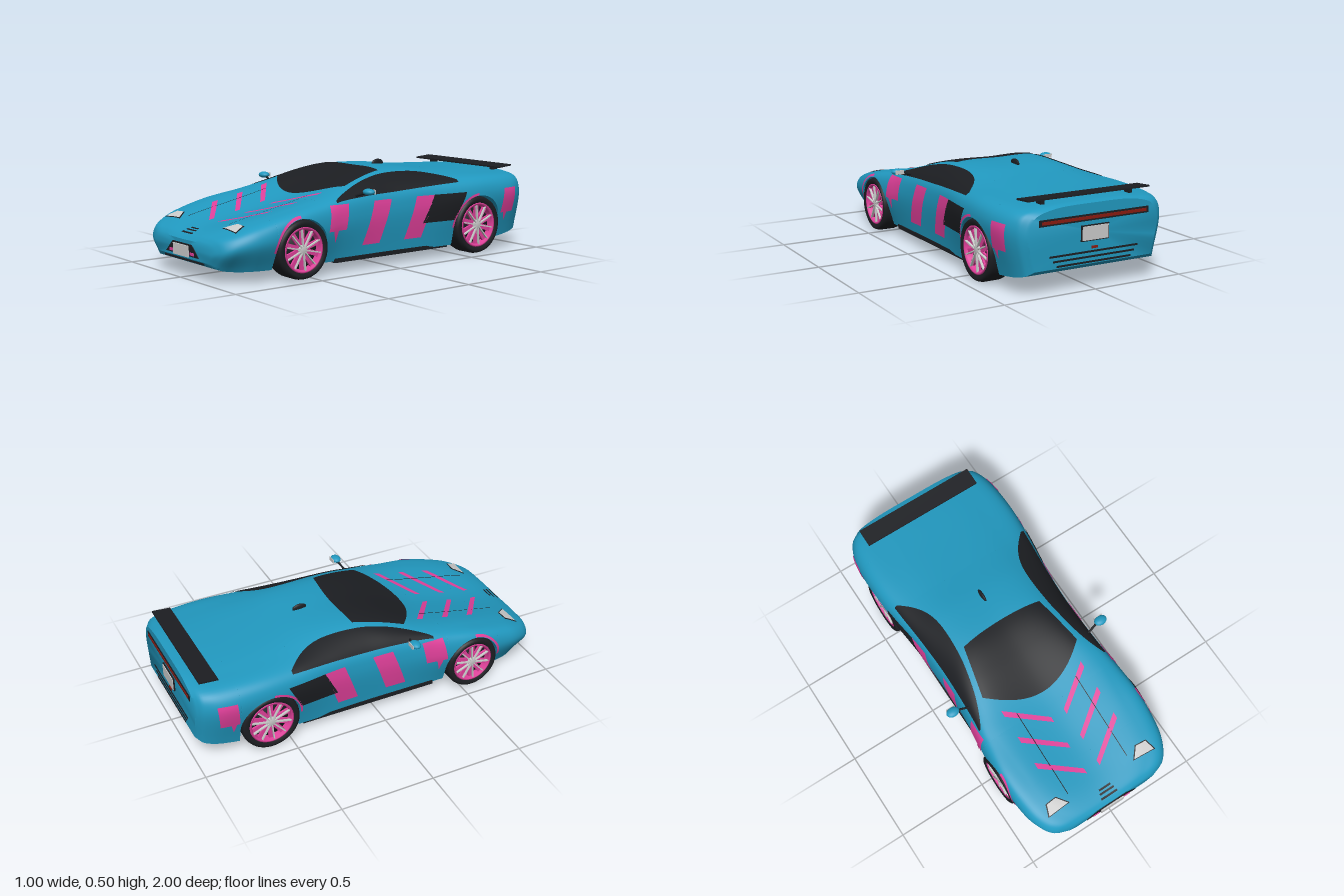
import * as THREE from 'three';
import { toCreasedNormals } from 'three/addons/utils/BufferGeometryUtils.js';

const mat = (color) => new THREE.MeshStandardMaterial({ color, side: THREE.DoubleSide });
const blue = mat(0x2199c0), pink = mat(0xe0409a), black = mat(0x1c1e22), grey = mat(0xcccccc), red = mat(0x8a1c12);
const lerp = THREE.MathUtils.lerp;

// Body stations: z, sill y/x, widest y/x, shoulder y/x, roof edge y/x, centre top y
const S = [
  [0.985, 0.1, 0.22, 0.145, 0.27, 0.175, 0.25, 0.19, 0.15, 0.19],
  [0.96, 0.075, 0.27, 0.16, 0.34, 0.205, 0.31, 0.217, 0.2, 0.212],
  [0.9, 0.062, 0.31, 0.18, 0.39, 0.23, 0.365, 0.246, 0.26, 0.235],
  [0.8, 0.06, 0.36, 0.2, 0.425, 0.262, 0.4, 0.282, 0.3, 0.257],
  [0.6, 0.06, 0.385, 0.22, 0.44, 0.308, 0.42, 0.328, 0.32, 0.296],
  [0.4, 0.06, 0.385, 0.24, 0.43, 0.338, 0.405, 0.366, 0.33, 0.343],
  [0.3, 0.06, 0.385, 0.26, 0.417, 0.36, 0.39, 0.388, 0.32, 0.374],
  [0.1, 0.06, 0.385, 0.28, 0.403, 0.375, 0.38, 0.44, 0.29, 0.445],
  [-0.05, 0.06, 0.385, 0.29, 0.402, 0.38, 0.378, 0.464, 0.265, 0.478],
  [-0.25, 0.06, 0.39, 0.3, 0.412, 0.39, 0.388, 0.464, 0.255, 0.48],
  [-0.45, 0.06, 0.395, 0.32, 0.437, 0.398, 0.405, 0.446, 0.26, 0.46],
  [-0.65, 0.062, 0.4, 0.335, 0.45, 0.403, 0.415, 0.434, 0.27, 0.445],
  [-0.85, 0.08, 0.39, 0.33, 0.44, 0.4, 0.4, 0.425, 0.26, 0.435],
  [-0.95, 0.1, 0.365, 0.32, 0.405, 0.39, 0.375, 0.42, 0.25, 0.428],
  [-0.985, 0.125, 0.33, 0.3, 0.365, 0.375, 0.335, 0.41, 0.24, 0.42],
];
// Wheels: z, axle y, arch radius, tyre scale
const AXLES = [[0.56, 0.148, 0.153, 1], [-0.61, 0.157, 0.163, 1.06]];

// Station values at any z, by a smooth cubic through the list
function station(z) {
  z = THREE.MathUtils.clamp(z, -0.985, 0.985);
  let i = 0;
  while (i < S.length - 2 && S[i + 1][0] > z) i++;
  const slope = (k, c) => {
    const a = S[Math.max(k - 1, 0)], b = S[Math.min(k + 1, S.length - 1)];
    return (b[c] - a[c]) / (b[0] - a[0]);
  };
  const h = S[i + 1][0] - S[i][0], s = (z - S[i][0]) / h, s2 = s * s, s3 = s2 * s;
  return S[i].map((v, c) => c === 0 ? z : (2 * s3 - 3 * s2 + 1) * v + (s3 - 2 * s2 + s) * h * slope(i, c)
    + (3 * s2 - 2 * s3) * S[i + 1][c] + (s3 - s2) * h * slope(i + 1, c));
}

// Half cross-section, t = 0 at the sill to t = 1 at the top centre
function section(z) {
  const p = station(z), V = (x, y) => new THREE.Vector3(x, y, p[0]);
  const curve = new THREE.CatmullRomCurve3(
    [V(p[2], p[1]), V(p[4], p[3]), V(p[6], p[5]), V(p[8], p[7]), V(0, p[9]), V(-p[8], p[7])]);
  return { p, at: (t) => curve.getPoint(t * 0.8) };
}
function solve(test, lo, hi) {
  for (let k = 0; k < 22; k++) {
    const m = (lo + hi) / 2;
    if (test(m)) lo = m; else hi = m;
  }
  return (lo + hi) / 2;
}

// Points lifted just off the body: by section parameter, from above (x, z), from the side (z, y)
function lifted(t, z, side, off = 0.004) {
  const e = 0.004, a = section(z).at(t);
  const dt = section(z).at(Math.min(t + e, 1.02)).sub(section(z).at(t - e));
  const dz = section(z + e).at(t).sub(section(z - e).at(t));
  a.addScaledVector(dt.cross(dz).normalize(), off);
  a.x *= side;
  return a;
}
function onTop(x, z, off) {
  const s = section(z);
  return lifted(solve((t) => s.at(t).x > Math.abs(x), 0.4, 1), z, x < 0 ? -1 : 1, off);
}
function onSide(z, y, side, off) {
  const s = section(z);
  return lifted(solve((t) => s.at(t).y < y, 0.01, 0.7), z, side, off);
}

function grid(nu, nv, f) {
  const pos = [], idx = [];
  for (let i = 0; i <= nu; i++) for (let j = 0; j <= nv; j++) {
    pos.push(...f(i / nu, j / nv).toArray());
    if (i < nu && j < nv) {
      const a = i * (nv + 1) + j, d = a + nv + 1;
      idx.push(a, d, d + 1, a, d + 1, a + 1);
    }
  }
  const g = new THREE.BufferGeometry();
  g.setAttribute('position', new THREE.Float32BufferAttribute(pos, 3));
  g.setIndex(idx);
  g.computeVertexNormals();
  return g;
}
// Four-cornered patch: corners in order round the shape
function quad(c, place, n = 8) {
  return grid(n, n, (u, v) => {
    const m = [0, 1].map((k) => lerp(lerp(c[0][k], c[1][k], u), lerp(c[3][k], c[2][k], u), v));
    return place(m[0], m[1]);
  });
}

function bodyGeometry() {
  const rings = [], N = 30;
  const ring = (z, arch) => {
    const s = section(z), yb = s.p[1], xin = Math.min(0.29, 0.75 * s.p[2]);
    const a = arch ? Math.max(yb, arch) : yb;
    const t0 = arch ? solve((t) => s.at(t).y < a, 0, 0.7) : 0;
    const half = [[0, yb], [xin, yb], [xin, a]];
    for (let k = 0; k <= N; k++) { const q = s.at(lerp(t0, 1, k / N)); half.push([q.x, q.y]); }
    const back = half.slice(1, -1).reverse().map(([x, y]) => [-x, y]);
    rings.push([...half, ...back].map(([x, y]) => [x, y, z]));
  };
  const run = (a, b, n) => { for (let i = 0; i <= n; i++) ring(lerp(a, b, i / n)); };
  let from = 0.985;
  for (const [z, y, R] of AXLES) {
    run(from, z + R, 30);
    for (let i = 0; i <= 28; i++) {
      const a = Math.PI * i / 28;
      ring(z + R * Math.cos(a), y + R * Math.sin(a));
    }
    from = z - R;
  }
  run(from, -0.985, 24);
  const pos = rings.flat(2), idx = [], M = rings[0].length, L = rings.length;
  for (let i = 0; i < L - 1; i++) for (let j = 0; j < M; j++) {
    const a = i * M + j, b = i * M + (j + 1) % M;
    idx.push(a, a + M, b + M, a, b + M, b);
  }
  // Nose and tail caps
  pos.push(0, 0.15, 0.985, 0, 0.28, -0.985);
  for (let j = 0; j < M; j++) {
    const k = (j + 1) % M, e = (L - 1) * M;
    idx.push(L * M, j, k, L * M + 1, e + k, e + j);
  }
  const g = new THREE.BufferGeometry();
  g.setAttribute('position', new THREE.Float32BufferAttribute(pos, 3));
  g.setIndex(idx);
  return toCreasedNormals(g.scale(100, 100, 100), 0.7).scale(0.01, 0.01, 0.01);
}

export function createModel() {
  const car = new THREE.Group();
  const add = (name, geo, m, parent = car, x = 0, y = 0, z = 0) => {
    const mesh = new THREE.Mesh(geo, m);
    mesh.name = name;
    mesh.position.set(x, y, z);
    parent.add(mesh);
    return mesh;
  };
  const box = (name, m, w, h, d, x, y, z) => add(name, new THREE.BoxGeometry(w, h, d), m, car, x, y, z);

  add('body', bodyGeometry(), blue);

  // Windscreen, curved along its front edge
  add('windscreen', grid(32, 24, (u, v) => {
    const q = 2 * u - 1, x = q * lerp(0.235, 0.295, v);
    return onTop(x, lerp(-0.085 + 0.02 * q * q, 0.335 - 0.13 * q * q, v));
  }), black);

  for (const s of [1, -1]) {
    // Side window, tapering to both ends
    add('sideWindow', grid(40, 10, (u, v) => {
      const top = 0.735 - 0.2 * Math.pow(Math.abs(2 * u - 1), 4);
      return lifted(lerp(0.49, top, v), lerp(0.33, -0.48, u), s);
    }), black);

    // Hood stripes, panel line and headlight
    for (const z of [0.31, 0.465, 0.62])
      add('hoodStripe', quad([[s * 0.25, z], [s * 0.04, z + 0.155], [s * 0.04, z + 0.185], [s * 0.25, z + 0.035]], onTop, 12), pink);
    add('hoodLine', quad([[s * 0.184, 0.36], [s * 0.188, 0.36], [s * 0.188, 0.84], [s * 0.184, 0.84]], onTop, 20), black);
    const lamp = [[0.2, 0.88], [0.337, 0.888], [0.315, 0.825], [0.25, 0.82]].map(([x, z]) => [s * x, z]);
    add('headlightFrame', quad(lamp, onTop), black);
    const inner = lamp.map(([x, z]) => [lerp(x, s * 0.275, 0.13), lerp(z, 0.855, 0.13)]);
    add('headlight', quad(inner, (x, z) => onTop(x, z, 0.007)), grey);

    // Slanted side stripes: top z, bottom z, length, bottom y
    const place = (z, y) => onSide(z, y, s);
    for (const [zt, zb, len, y0, m] of [[0.38, 0.405, 0.12, 0.22, pink], [0.09, 0.17, 0.115, 0.125, pink],
      [-0.19, -0.11, 0.115, 0.125, pink], [-0.305, -0.23, 0.21, 0.2, black], [-0.79, -0.777, 0.1, 0.21, pink]])
      add('sideStripe', quad([[zb, y0], [zb - len, y0], [zt - len, 0.345], [zt, 0.345]], place, 14), m);
    for (const z of [0.36, -0.81])
      add('sideTriangle', quad([[z, 0.16], [z, 0.16], [z - 0.02, 0.235], [z + 0.02, 0.235]], (a, y) => onSide(a, y, s, 0.007)), pink);
    // Pink trim in front of each arch
    for (const [z, y, R] of AXLES) add('archTrim', grid(16, 2, (u, v) => {
      const a = lerp(0.0, 1.5, u), r = R + lerp(0.002, 0.014, v);
      return onSide(z + r * Math.cos(a), y + r * Math.sin(a), s);
    }), pink);
    box('sill', black, 0.03, 0.022, 0.76, s * 0.377, 0.062, -0.04);

    // Door mirror on a thin arm
    const arm = new THREE.LineCurve3(new THREE.Vector3(s * 0.37, 0.375, 0.2), new THREE.Vector3(s * 0.45, 0.4, 0.18));
    add('mirrorArm', new THREE.TubeGeometry(arm, 1, 0.006, 8), black);
    add('mirror', new THREE.SphereGeometry(1, 20, 12), blue, car, s * 0.464, 0.405, 0.182).scale.set(0.036, 0.017, 0.027);
    box('mirrorGlass', grey, 0.05, 0.022, 0.004, s * 0.464, 0.405, 0.157);

    // Wheels, built facing +x
    for (const [z, y, , k] of AXLES) {
      const wheel = new THREE.Group();
      wheel.name = z > 0 ? 'frontWheel' : 'rearWheel';
      wheel.position.set(s * 0.376, y, z);
      wheel.rotation.y = s > 0 ? 0 : Math.PI;
      wheel.scale.set(1, k, k);
      const lathe = (name, pts, m) => {
        add(name, new THREE.LatheGeometry(pts.map((p) => new THREE.Vector2(...p)), 40), m, wheel).rotation.z = -Math.PI / 2;
      };
      lathe('tyre', [[0.112, -0.055], [0.13, -0.065], [0.143, -0.058], [0.148, -0.04], [0.148, 0.04], [0.143, 0.058], [0.13, 0.065], [0.112, 0.055]], black);
      lathe('rim', [[0.098, 0.02], [0.1, 0.05], [0.106, 0.06], [0.114, 0.058], [0.114, 0.02]], pink);
      lathe('brakeDisc', [[0, 0.024], [0.113, 0.02], [0.113, -0.05], [0, -0.05]], black);
      lathe('hub', [[0.026, 0.02], [0.026, 0.05], [0.018, 0.056], [0, 0.056]], grey);
      for (let i = 0; i < 10; i++) {
        const a = i * Math.PI / 5;
        for (const [da, w, x, m] of [[0, 0.026, 0.038, pink], [0.1, 0.006, 0.052, grey]]) {
          const spoke = add('spoke', new THREE.BoxGeometry(0.012, 0.086, w), m, wheel,
            x, 0.06 * Math.cos(a + da), 0.06 * Math.sin(a + da));
          spoke.rotation.x = a + da;
        }
      }
      car.add(wheel);
    }
  }

  // Nose: grille surround, plate, lamps, lower intake and vents
  const grille = new THREE.Shape([[-0.155, 0.113], [0.155, 0.113], [0.09, 0.172], [-0.09, 0.172]].map((p) => new THREE.Vector2(...p)));
  add('grille', new THREE.ExtrudeGeometry(grille, { depth: 0.01, bevelEnabled: false }), black, car, 0, 0, 0.979);
  box('frontPlate', grey, 0.14, 0.056, 0.008, 0, 0.137, 0.995);
  for (const x of [-0.097, 0.097]) box('noseLamp', pink, 0.038, 0.014, 0.006, x, 0.127, 0.99);
  box('lowerIntake', black, 0.37, 0.012, 0.03, 0, 0.09, 0.965);
  for (const [z, w] of [[0.905, 0.036], [0.925, 0.044], [0.948, 0.05]])
    add('noseVent', quad([[-w, z], [w, z], [w, z + 0.01], [-w, z + 0.01]], onTop), black);

  // Roof fin
  add('roofFin', new THREE.SphereGeometry(1, 16, 10), black, car, 0, 0.483, -0.255).scale.set(0.01, 0.022, 0.04);

  // Tail: wing, light bar, plate, slats
  const wing = box('rearWing', black, 0.69, 0.008, 0.1, 0, 0.45, -0.895);
  wing.rotation.x = 0.08;
  for (const x of [-0.25, 0.25]) box('wingMount', black, 0.02, 0.025, 0.04, x, 0.437, -0.9);
  box('lightBarFrame', black, 0.62, 0.032, 0.012, 0, 0.352, -0.983);
  box('lightBar', red, 0.59, 0.015, 0.008, 0, 0.352, -0.988);
  box('rearPlateFrame', black, 0.156, 0.078, 0.012, 0, 0.277, -0.986);
  box('rearPlate', grey, 0.145, 0.068, 0.008, 0, 0.277, -0.992);
  box('rearLamp', red, 0.035, 0.012, 0.008, 0, 0.205, -0.985);
  [0.135, 0.16, 0.185].forEach((y, i) => box('rearSlat', black, 0.42 + i * 0.04, 0.009, 0.01, 0, y, -0.983));

  // Underside trim line and cooling slots
  for (const s of [1, -1]) box('floorLine', black, 0.012, 0.004, 1.4, s * 0.255, 0.059, 0.05);
  box('floorLine', black, 0.51, 0.004, 0.012, 0, 0.059, 0.75);
  for (const x of [-0.18, -0.06, 0.06, 0.18]) box('floorSlot', black, 0.014, 0.006, 0.1, x, 0.064, -0.72);
  return car;
}
